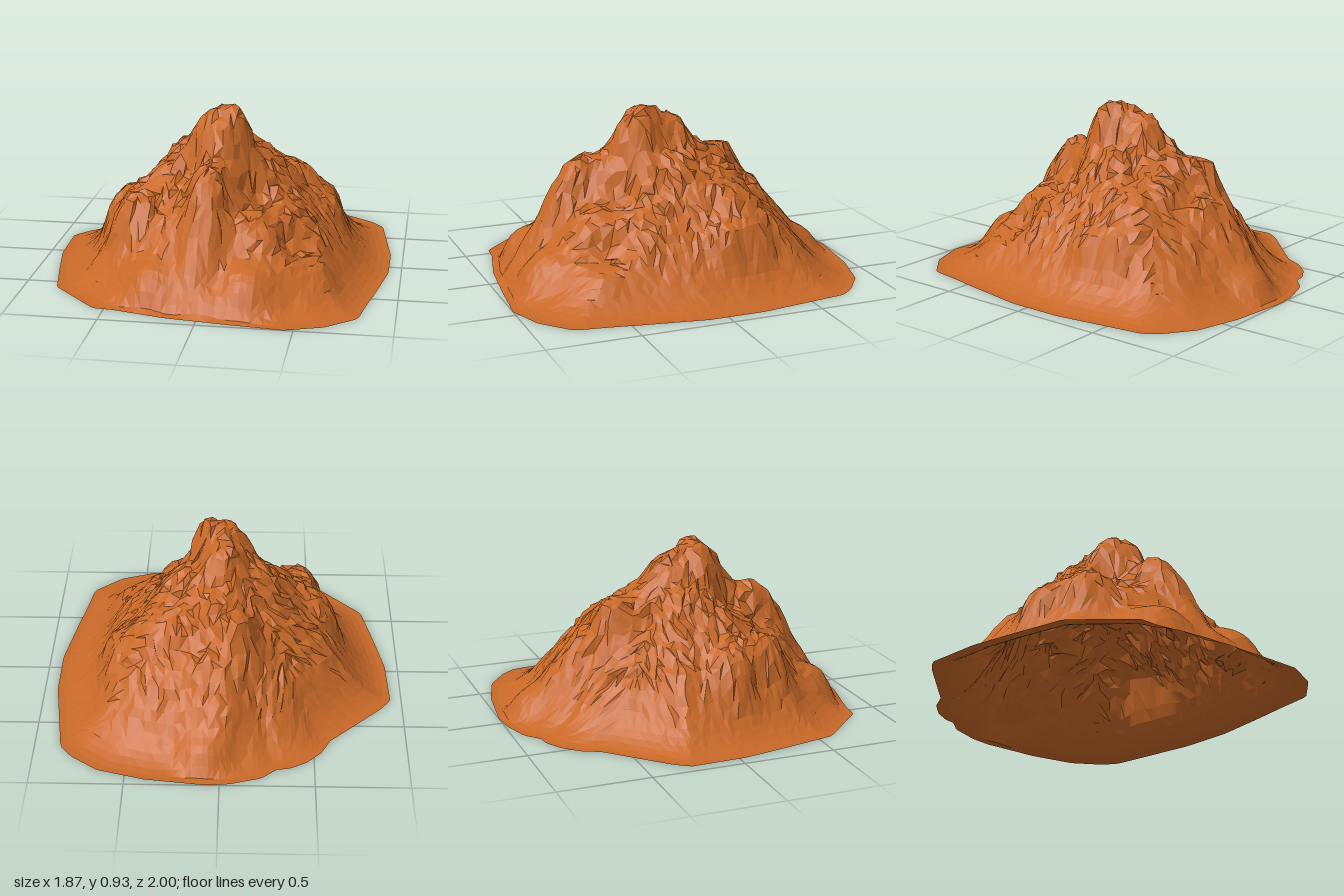
import * as THREE from 'three';

// Outline of the foot of the mountain, as x, z corners going round
const RIM = [
  [0.93, -0.2], [0.93, 0.1], [0.87, 0.45], [0.84, 0.6], [0.81, 0.79], [0.65, 0.93], [0.45, 1], [0.15, 0.97],
  [-0.17, 0.93], [-0.45, 0.86], [-0.56, 0.85], [-0.82, 0.58], [-0.88, 0.3], [-0.93, 0.04], [-0.94, -0.27],
  [-0.88, -0.35], [-0.59, -0.63], [-0.54, -0.73], [-0.46, -0.81], [-0.37, -0.86], [-0.3, -0.87], [-0.22, -0.94],
  [-0.05, -0.99], [0.07, -1], [0.4, -0.96], [0.65, -0.89], [0.8, -0.78], [0.86, -0.7],
];

// Landmarks as x, z, height, spread
const SUMMIT = [[0.05, 0.13, 0.98, 0.08], [-0.06, 0.11, 0.92, 0.08], [0.01, -0.06, 0.88, 0.08],
  [0.01, 0.23, 0.87, 0.07], [0.21, -0.03, 0.7, 0.09], [-0.2, 0.05, 0.73, 0.09]];
const FRONT_SPUR = [[0, 0.37, 0.7, 0.08], [-0.02, 0.5, 0.73, 0.09], [-0.02, 0.62, 0.56, 0.08],
  [-0.18, 0.54, 0.44, 0.09], [0.2, 0.52, 0.44, 0.1]];
const FRONT_APRON = [[-0.02, 0.73, 0.31, 0.08], [-0.25, 0.69, 0.24, 0.11], [0.22, 0.73, 0.25, 0.11], [0.02, 0.84, 0.11, 0.08]];
const BACK_RIDGE = [[0.04, -0.22, 0.7, 0.09], [0.18, -0.27, 0.61, 0.08], [-0.07, -0.39, 0.7, 0.08],
  [0.02, -0.53, 0.5, 0.09], [0.05, -0.67, 0.32, 0.09], [0.08, -0.79, 0.16, 0.09]];
const WEST_SHOULDER = [[-0.3, 0.12, 0.6, 0.09], [-0.45, 0.15, 0.5, 0.09], [-0.54, 0.12, 0.44, 0.07], [-0.43, 0.36, 0.51, 0.08]];
const EAST_SHOULDER = [[0.3, -0.15, 0.56, 0.09], [0.42, -0.24, 0.54, 0.1], [0.53, -0.31, 0.39, 0.07], [0.55, -0.15, 0.38, 0.07]];
const HOLLOWS = [[-0.18, 0.28, 0.54, 0.07], [0.28, 0.34, 0.39, 0.08], [0.5, 0.5, 0.18, 0.09]];
const LANDMARKS = [...SUMMIT, ...FRONT_SPUR, ...FRONT_APRON, ...BACK_RIDGE, ...WEST_SHOULDER, ...EAST_SHOULDER, ...HOLLOWS];

function seeded(seed) {
  return () => {
    seed = (Math.imul(seed, 1664525) + 1013904223) >>> 0;
    return seed / 4294967296 - 0.5;
  };
}

// Distance from the centre to the outline in one direction
function rimRadius(angle) {
  const dx = Math.cos(angle), dz = Math.sin(angle);
  for (let i = 0; i < RIM.length; i++) {
    const [ax, az] = RIM[i], [bx, bz] = RIM[(i + 1) % RIM.length];
    const sideA = dx * az - dz * ax, sideB = dx * bz - dz * bx;
    if (sideA <= 0 && sideB > 0) {
      const t = sideA / (sideA - sideB);
      return dx * (ax + t * (bx - ax)) + dz * (az + t * (bz - az));
    }
  }
  return 0.93;
}

// Cone blended towards the landmarks, flaring out flat at the foot (s = 1)
function heightAt(x, z, s) {
  const flare = 1 - THREE.MathUtils.smoothstep(s, 0.58, 1.06);
  let weight = 0.22;
  let sum = weight * 0.88 * Math.pow(1 - s, 1.1) * flare;
  for (const [px, pz, h, r] of LANDMARKS) {
    const g = Math.exp(-((x - px) ** 2 + (z - pz) ** 2) / (r * r));
    sum += g * h;
    weight += g;
  }
  return (sum / weight) * (1 - THREE.MathUtils.smoothstep(s, 0.9, 1));
}

// Square grid wrapped onto the outline, so facets stay even in size
function mountainGeometry(n) {
  const rand = seeded(17);
  const positions = [], index = [];
  for (let j = 0; j <= n; j++) {
    for (let i = 0; i <= n; i++) {
      const u = (2 * i) / n - 1, v = (2 * j) / n - 1;
      const s = Math.max(Math.abs(u), Math.abs(v));
      let angle = 0;
      if (s > 0) {
        angle = Math.abs(u) > Math.abs(v)
          ? (Math.PI / 4) * (v / u) + (u < 0 ? Math.PI : 0)
          : Math.PI / 2 - (Math.PI / 4) * (u / v) + (v < 0 ? Math.PI : 0);
      }
      const r = s * rimRadius(angle);
      const x = r * Math.cos(angle), z = r * Math.sin(angle);
      // Crags fade out towards the smooth foot
      const crag = 1 - THREE.MathUtils.smoothstep(s, 0.5, 0.85);
      const loose = s < 0.99 ? 0.006 + 0.02 * crag : 0;
      const y = heightAt(x, z, s) + crag * 0.03 * rand();
      positions.push(x + loose * rand(), s < 0.99 ? Math.max(0, y) : 0, z + loose * rand());
    }
  }
  for (let j = 0; j < n; j++) {
    for (let i = 0; i < n; i++) {
      const a = j * (n + 1) + i, b = a + 1, c = a + n + 1, d = c + 1;
      if (rand() > 0) index.push(a, c, b, b, c, d);
      else index.push(a, c, d, a, d, b);
    }
  }
  const geometry = new THREE.BufferGeometry();
  geometry.setAttribute('position', new THREE.Float32BufferAttribute(positions, 3));
  geometry.setIndex(index);
  geometry.computeVertexNormals();
  return geometry;
}

export function createModel() {
  const group = new THREE.Group();
  group.name = 'mountain';
  // Open shell, seen from below as well
  const rock = new THREE.MeshStandardMaterial({ color: 0xc86828, flatShading: true, side: THREE.DoubleSide });
  const mountain = new THREE.Mesh(mountainGeometry(52), rock);
  mountain.name = 'mountainSurface';
  group.add(mountain);
  return group;
}
